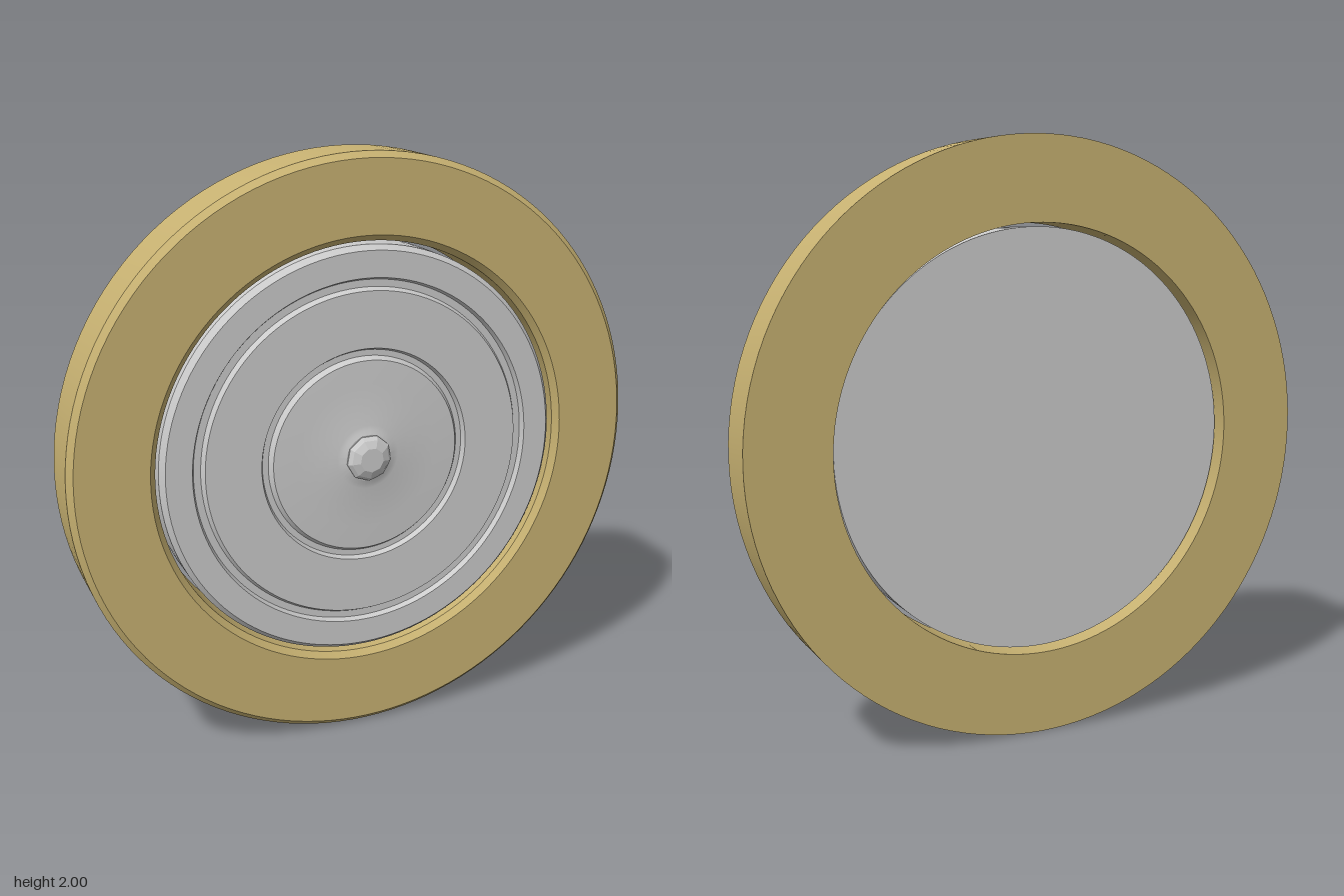
import * as THREE from 'three';
import { toCreasedNormals } from 'three/addons/utils/BufferGeometryUtils.js';

const gold = new THREE.MeshStandardMaterial({ color: 0xc8b272 });
const grey = new THREE.MeshStandardMaterial({ color: 0xcccccc });
const facetedGrey = new THREE.MeshStandardMaterial({ color: 0xcccccc, flatShading: true });

// Revolve [radius, z] points around the z axis, keeping profile corners sharp
function turned(name, profile, material, sides = 128, crease = 0.2) {
  const points = profile.map(([r, z]) => new THREE.Vector2(r, z));
  const geometry = new THREE.LatheGeometry(points, sides);
  geometry.rotateX(Math.PI / 2);
  const mesh = new THREE.Mesh(toCreasedNormals(geometry, crease), material);
  mesh.name = name;
  return mesh;
}

export function createModel() {
  const model = new THREE.Group();
  model.name = 'wheel';

  // Outer ring with chamfered front edges
  const ring = turned('outerRing', [
    [0.72, -0.12], [1, -0.12], [1, 0.06], [0.98, 0.08],
    [0.74, 0.08], [0.72, 0.06], [0.72, -0.12],
  ], gold);

  // Inner disc: flat back, two grooves in the front and a slightly domed middle
  const disc = turned('innerDisc', [
    [0, -0.08], [0.707, -0.08], [0.707, 0.05], [0.69, 0.07],
    [0.602, 0.07], [0.594, 0.052], [0.57, 0.052], [0.56, 0.07],
    [0.37, 0.07], [0.362, 0.052], [0.342, 0.052], [0.33, 0.07],
    [0.25, 0.074], [0.11, 0.079], [0.095, 0.082], [0.08, 0.087], [0, 0.087],
  ], grey);

  // Faceted centre knob
  const knob = turned('centreKnob', [
    [0.08, 0.08], [0.08, 0.092], [0.068, 0.105], [0.042, 0.117], [0, 0.117],
  ], facetedGrey, 9, 0.05);

  model.add(ring, disc, knob);
  model.position.y = 1;

  const root = new THREE.Group();
  root.add(model);
  return root;
}
